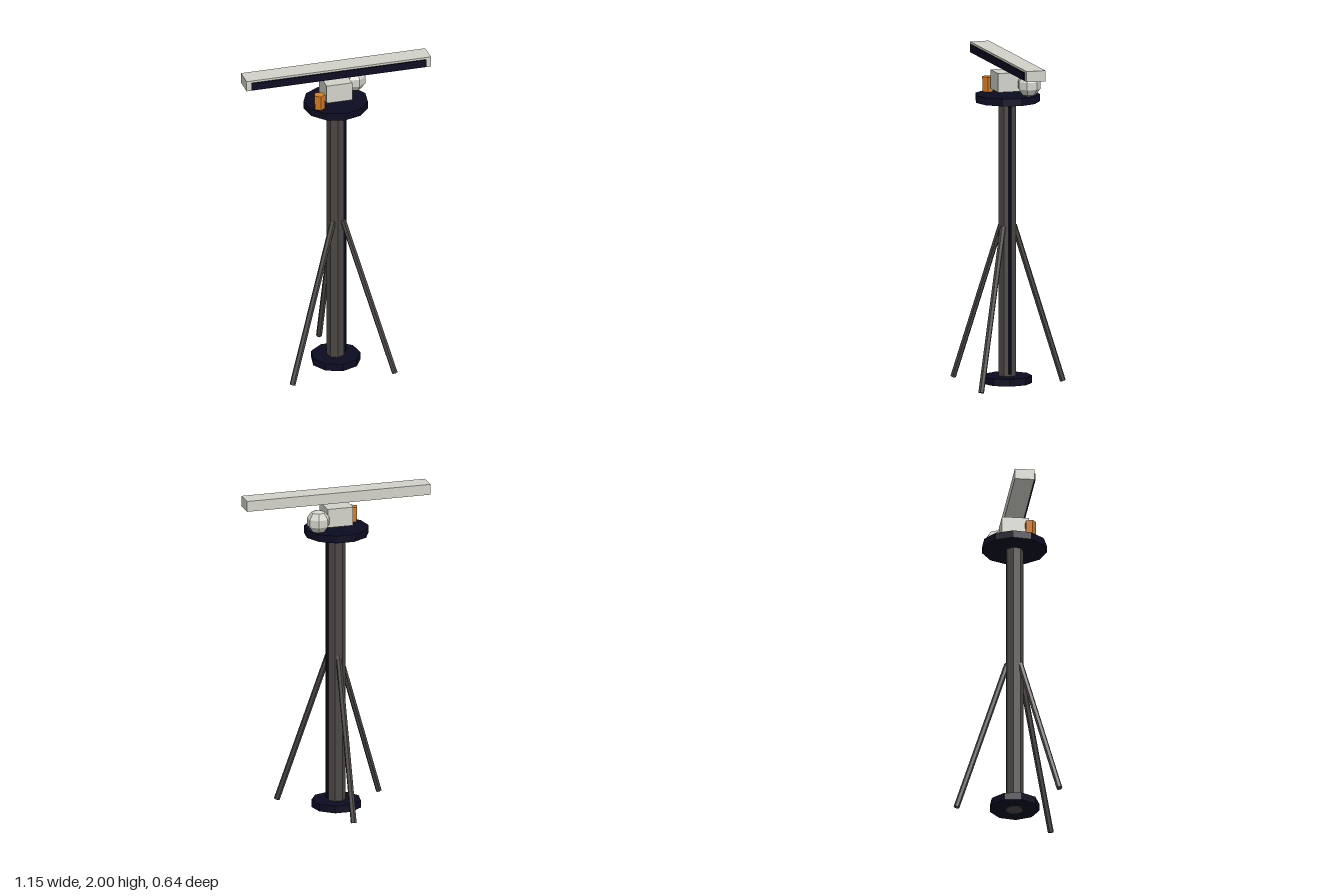
import * as THREE from 'three';

const mat = (name, color) => {
  const m = new THREE.MeshStandardMaterial({ color, flatShading: true });
  m.name = name;
  return m;
};

export function createModel() {
  const group = new THREE.Group();
  const steel = mat('dark steel', 0x4b4745);
  const navy = mat('navy black', 0x0c0c22);
  const pale = mat('pale grey', 0xd2d2ca);
  const orange = mat('orange', 0xd67c22);

  const add = (name, geometry, material, x, y, z) => {
    const mesh = new THREE.Mesh(geometry, material);
    mesh.name = name;
    mesh.position.set(x, y, z);
    group.add(mesh);
    return mesh;
  };

  // Upright mast between two faceted discs
  const axisX = -0.005, axisZ = 0.048;
  add('mast', new THREE.CylinderGeometry(0.054, 0.054, 1.73, 7), steel, axisX, 0.873, axisZ);
  add('baseDisc', new THREE.CylinderGeometry(0.151, 0.151, 0.045, 9), navy, axisX, 0.034, axisZ);
  add('platform', new THREE.CylinderGeometry(0.196, 0.196, 0.045, 11), navy, axisX, 1.747, axisZ);

  // Cable running down the left side of the mast
  add('cable', new THREE.CylinderGeometry(0.009, 0.009, 1.66, 5), navy, 0.055, 0.9, axisZ);

  // Three splayed bracing legs
  const legs = [
    [[-0.03, 0.97, 0.08], [-0.345, 0.008, 0.282]],
    [[0.03, 0.97, 0.085], [0.29, 0.008, 0.302]],
    [[-0.005, 0.97, 0.005], [-0.005, 0.008, -0.302]],
  ];
  for (const [top, foot] of legs) {
    const a = new THREE.Vector3(...top), b = new THREE.Vector3(...foot);
    const dir = a.clone().sub(b);
    const mid = a.clone().add(b).multiplyScalar(0.5);
    const leg = add('leg', new THREE.CylinderGeometry(0.018, 0.018, dir.length(), 6), steel, mid.x, mid.y, mid.z);
    leg.quaternion.setFromUnitVectors(new THREE.Vector3(0, 1, 0), dir.normalize());
  }

  // Equipment on the platform
  add('gearbox', new THREE.BoxGeometry(0.16, 0.115, 0.165), pale, -0.005, 1.852, 0.046);
  add('dome', new THREE.SphereGeometry(0.073, 7, 5), pale, 0.138, 1.842, -0.045);
  add('beacon', new THREE.CylinderGeometry(0.036, 0.033, 0.092, 5), orange, -0.131, 1.815, 0.13);

  // Scanner bar with a dark front strip
  add('scannerBar', new THREE.BoxGeometry(1.155, 0.065, 0.118), pale, -0.002, 1.9675, 0.045);
  add('scannerFace', new THREE.BoxGeometry(1.095, 0.046, 0.009), navy, -0.003, 1.964, 0.1085);

  return group;
}
